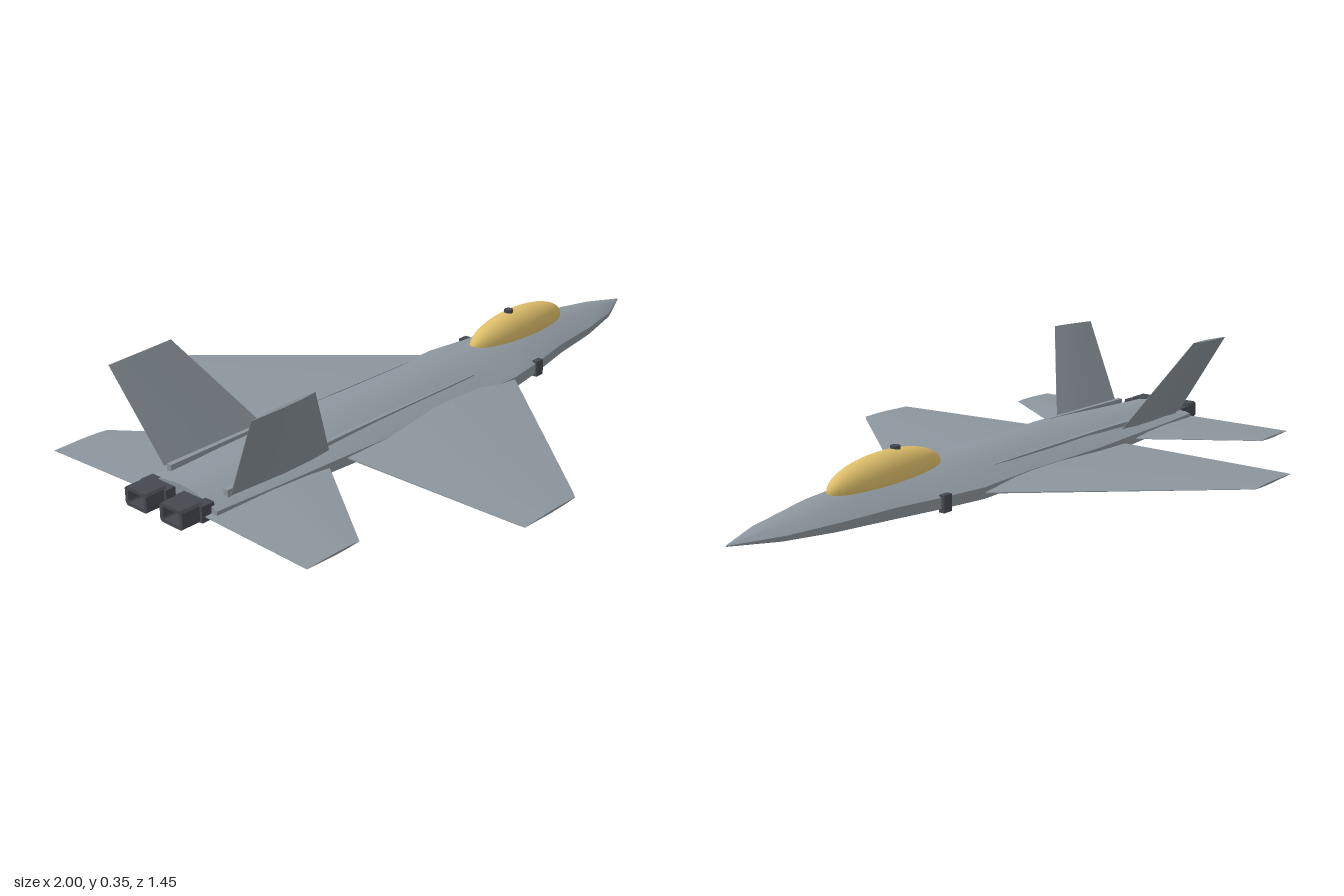
import * as THREE from 'three';
import { toCreasedNormals } from 'three/addons/utils/BufferGeometryUtils.js';

const V = (x, y, z) => new THREE.Vector3(x, y, z);

// Skin a list of equal-length rings, cap both ends and turn faces outward
function loft(rings, crease = 0.5) {
  const n = rings[0].length, pts = rings.flat().map((p) => p.clone()), idx = [];
  for (let i = 0; i < rings.length - 1; i++) {
    for (let j = 0; j < n; j++) {
      const a = i * n + j, b = i * n + (j + 1) % n;
      idx.push(a, b, a + n, b, b + n, a + n);
    }
  }
  [0, rings.length - 1].forEach((r) => {
    const c = rings[r].reduce((s, p) => s.add(p), V(0, 0, 0)).divideScalar(n);
    const k = pts.push(c) - 1;
    for (let j = 0; j < n; j++) {
      const a = r * n + j, b = r * n + (j + 1) % n;
      if (r === 0) idx.push(k, b, a); else idx.push(k, a, b);
    }
  });
  const origin = rings[0][0];
  let volume = 0;
  for (let i = 0; i < idx.length; i += 3) {
    const [a, b, c] = [0, 1, 2].map((k) => pts[idx[i + k]].clone().sub(origin));
    volume += a.dot(b.cross(c));
  }
  if (volume < 0) idx.reverse();
  const geo = new THREE.BufferGeometry().setFromPoints(pts);
  geo.setIndex(idx);
  return toCreasedNormals(geo, crease);
}

// Thin aerofoil ring from leading to trailing edge
function foil(le, te, normal, thick) {
  const at = (t, h) => le.clone().lerp(te, t).addScaledVector(normal, h * thick / 2);
  return [at(0, 0.1), at(0.22, 0.85), at(0.5, 1), at(1, 0.12),
    at(1, -0.12), at(0.5, -1), at(0.22, -0.85), at(0, -0.1)];
}

export function createModel() {
  const model = new THREE.Group();
  const mat = (name, color) => {
    const m = new THREE.MeshStandardMaterial({ color });
    m.name = name;
    return m;
  };
  const grey = mat('airframe grey', 0x8c959d);
  const gold = mat('canopy gold', 0xdcbd69);
  const dark = mat('dark metal', 0x454850);
  const add = (name, geo, material, x = 0, y = 0, z = 0) => {
    const m = new THREE.Mesh(geo, material);
    m.name = name;
    m.position.set(x, y, z);
    model.add(m);
    return m;
  };

  // Fuselage stations: x, half width, top, chine height, bottom
  const stations = [
    [-0.915, 0.135, 0.105, 0.065, 0.036], [-0.7, 0.148, 0.114, 0.062, 0.025],
    [-0.5, 0.158, 0.125, 0.06, 0.016], [-0.34, 0.165, 0.13, 0.058, 0.011],
    [0, 0.155, 0.132, 0.056, 0.005], [0.22, 0.165, 0.13, 0.056, 0.009],
    [0.36, 0.144, 0.129, 0.057, 0.015], [0.52, 0.114, 0.128, 0.06, 0.023],
    [0.7, 0.095, 0.118, 0.064, 0.036], [0.86, 0.062, 0.098, 0.068, 0.051],
    [1, 0.002, 0.074, 0.072, 0.07],
  ];
  add('fuselage', loft(stations.map(([x, w, t, m, b]) => {
    const up = t - m, down = m - b;
    const half = [[0.45, m + 0.86 * up], [1, m + 0.25 * up],
      [1, m - 0.3 * down], [0.72, m - 0.65 * down]];
    return [V(x, t, 0), ...half.map(([z, y]) => V(x, y, z * w)), V(x, b, 0),
      ...half.reverse().map(([z, y]) => V(x, y, -z * w))];
  }), 0.55), grey);

  // Canopy with a small sensor on top
  const canopy = new THREE.SphereGeometry(1, 32, 20);
  canopy.scale(0.218, 0.07, 0.058);
  add('canopy', canopy, gold, 0.437, 0.124, 0);
  add('canopySensor', new THREE.CylinderGeometry(0.014, 0.014, 0.012, 8), dark, 0.397, 0.195, 0);

  for (const s of [1, -1]) {
    const up = V(0, 1, 0);

    // Main wing, tapering in thickness toward the tip
    const rootY = s > 0 ? 0.068 : 0.058;
    add('wing', loft([
      foil(V(0.25, rootY, 0.13 * s), V(-0.485, rootY, 0.13 * s), up, 0.034),
      foil(V(-0.245, 0.059, 0.705 * s), V(-0.471, 0.059, 0.705 * s), up, 0.009),
      foil(V(-0.265, 0.059, 0.725 * s), V(-0.47, 0.059, 0.725 * s), up, 0.006),
    ]), grey);

    // Horizontal tail
    add('tailplane', loft([
      foil(V(-0.52, 0.062, 0.115 * s), V(-0.935, 0.062, 0.115 * s), up, 0.018),
      foil(V(-0.775, 0.059, 0.473 * s), V(-0.947, 0.059, 0.473 * s), up, 0.006),
    ]), grey);

    // Canted vertical fin
    const out = V(0, -0.47, 0.88 * s);
    add('fin', loft([
      foil(V(-0.52, 0.094, 0.125 * s), V(-0.86, 0.094, 0.125 * s), out, 0.014),
      foil(V(-0.7, 0.355, 0.265 * s), V(-0.905, 0.347, 0.261 * s), out, 0.007),
    ]), grey);

    // Long dorsal rail leading to the fin
    const rail = (x, y, z, w, h) => [V(x, y + h, (z - w) * s), V(x, y + h, (z + w) * s),
      V(x, y - 0.02, (z + w) * s), V(x, y - 0.02, (z - w) * s)];
    add('dorsalRail', loft([
      rail(-0.86, 0.092, 0.106, 0.008, 0.012), rail(-0.4, 0.1, 0.106, 0.006, 0.009),
      rail(0.1, 0.103, 0.104, 0.002, 0.002),
    ]), grey);

    // Hollow boxy exhaust nozzle and its collar
    const box = (w, h, c) => [[-w, -h + c], [-w + c, -h], [w - c, -h], [w, -h + c],
      [w, h - c], [w - c, h], [-w + c, h], [-w, h - c]].map(([x, y]) => new THREE.Vector2(x, y));
    const shape = new THREE.Shape(box(0.041, 0.026, 0.006));
    shape.holes.push(new THREE.Path(box(0.03, 0.017, 0.004).reverse()));
    const nozzle = new THREE.ExtrudeGeometry(shape, { depth: 0.065, bevelEnabled: false });
    nozzle.rotateY(Math.PI / 2);
    add('nozzle', nozzle, dark, -1, 0.072, 0.066 * s);
    add('nozzleCollar', new THREE.BoxGeometry(0.04, 0.044, 0.098), dark, -0.925, 0.07, 0.066 * s);

    // Side sensor pod under the chine
    add('sidePod', new THREE.BoxGeometry(0.032, 0.048, 0.018), dark, 0.36, 0.058, 0.142 * s);
  }
  return model;
}
